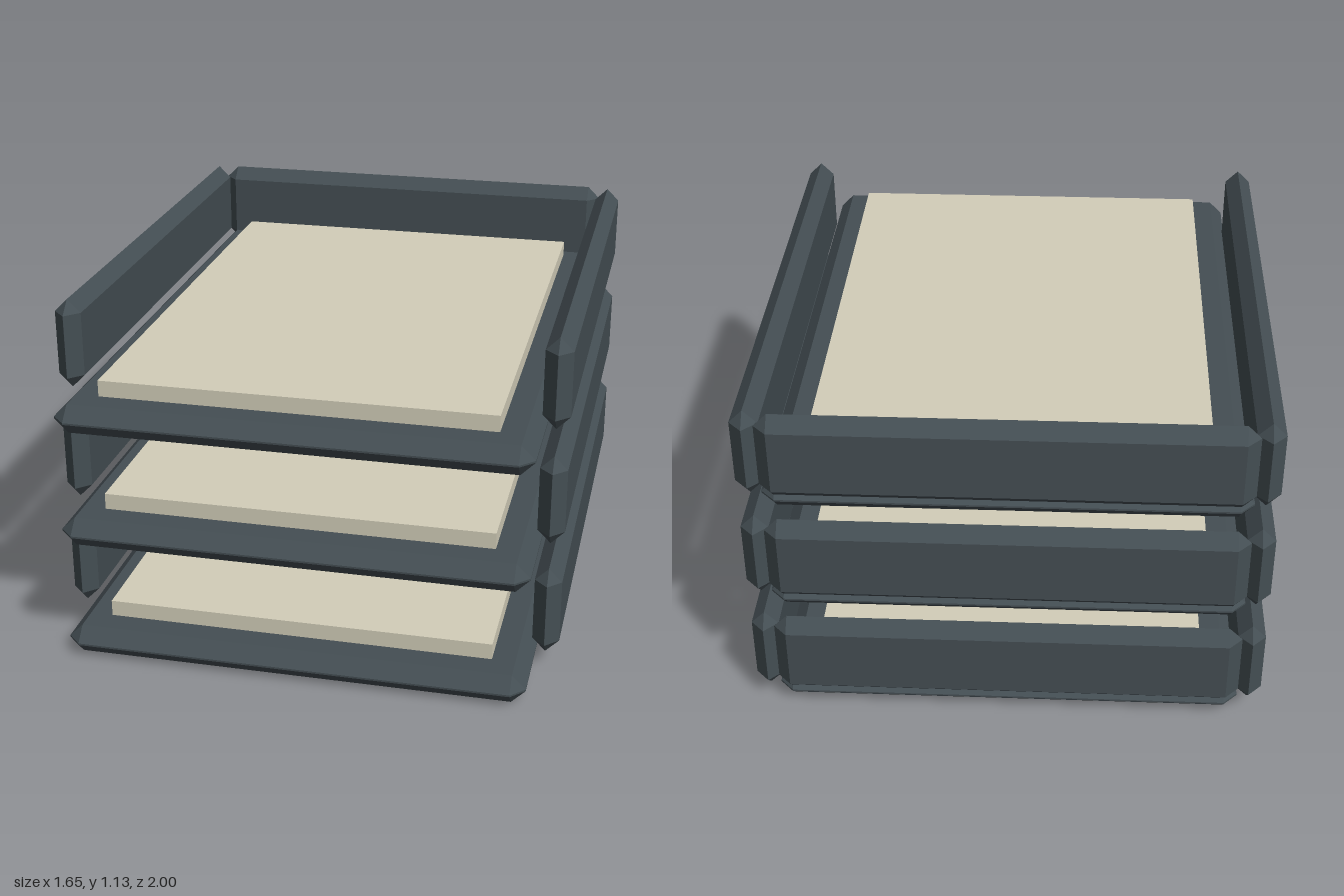
import * as THREE from 'three';
import { ConvexGeometry } from 'three/addons/geometries/ConvexGeometry.js';

// Box between two corners with every edge chamfered by c
function chamferBox(min, max, c) {
  const centre = min.map((v, i) => (v + max[i]) / 2);
  const half = max.map((v, i) => (v - min[i]) / 2);
  const points = [];
  for (const sx of [-1, 1]) for (const sy of [-1, 1]) for (const sz of [-1, 1]) {
    const sign = [sx, sy, sz];
    // each corner becomes three points, one on each adjoining face
    for (let face = 0; face < 3; face++) {
      const p = sign.map((s, i) => s * (half[i] - (i === face ? 0 : c)));
      points.push(new THREE.Vector3(...p));
    }
  }
  return new ConvexGeometry(points).translate(...centre);
}

export function createModel() {
  const model = new THREE.Group();
  model.name = 'letterTrays';
  const plastic = new THREE.MeshStandardMaterial({ color: 0x444e53 });
  plastic.name = 'dark slate plastic';
  const paper = new THREE.MeshStandardMaterial({ color: 0xd3ceb9 });
  paper.name = 'cream paper';

  // Geometry shared by all tiers
  const base = chamferBox([-0.75, 0, -0.98], [0.75, 0.096, 1], 0.045);
  const back = chamferBox([-0.75, 0.052, -1], [0.75, 0.35, -0.913], 0.043);
  const left = chamferBox([0.738, 0.052, -0.985], [0.825, 0.35, 0.757], 0.043);
  const right = chamferBox([-0.825, 0.052, -0.985], [-0.738, 0.35, 0.757], 0.043);
  const stack = new THREE.BoxGeometry(1.262, 0.054, 1.745).translate(0, 0.122, 0.002);

  // Three identical tiers
  for (let i = 0; i < 3; i++) {
    const tier = new THREE.Group();
    tier.name = `tray${i + 1}`;
    tier.position.y = i * 0.391;
    const add = (name, geometry, material) => {
      const mesh = new THREE.Mesh(geometry, material);
      mesh.name = name;
      tier.add(mesh);
    };
    add('trayBase', base, plastic);
    add('backWall', back, plastic);
    add('leftWall', left, plastic);
    add('rightWall', right, plastic);
    add('paperStack', stack, paper);
    model.add(tier);
  }
  return model;
}
